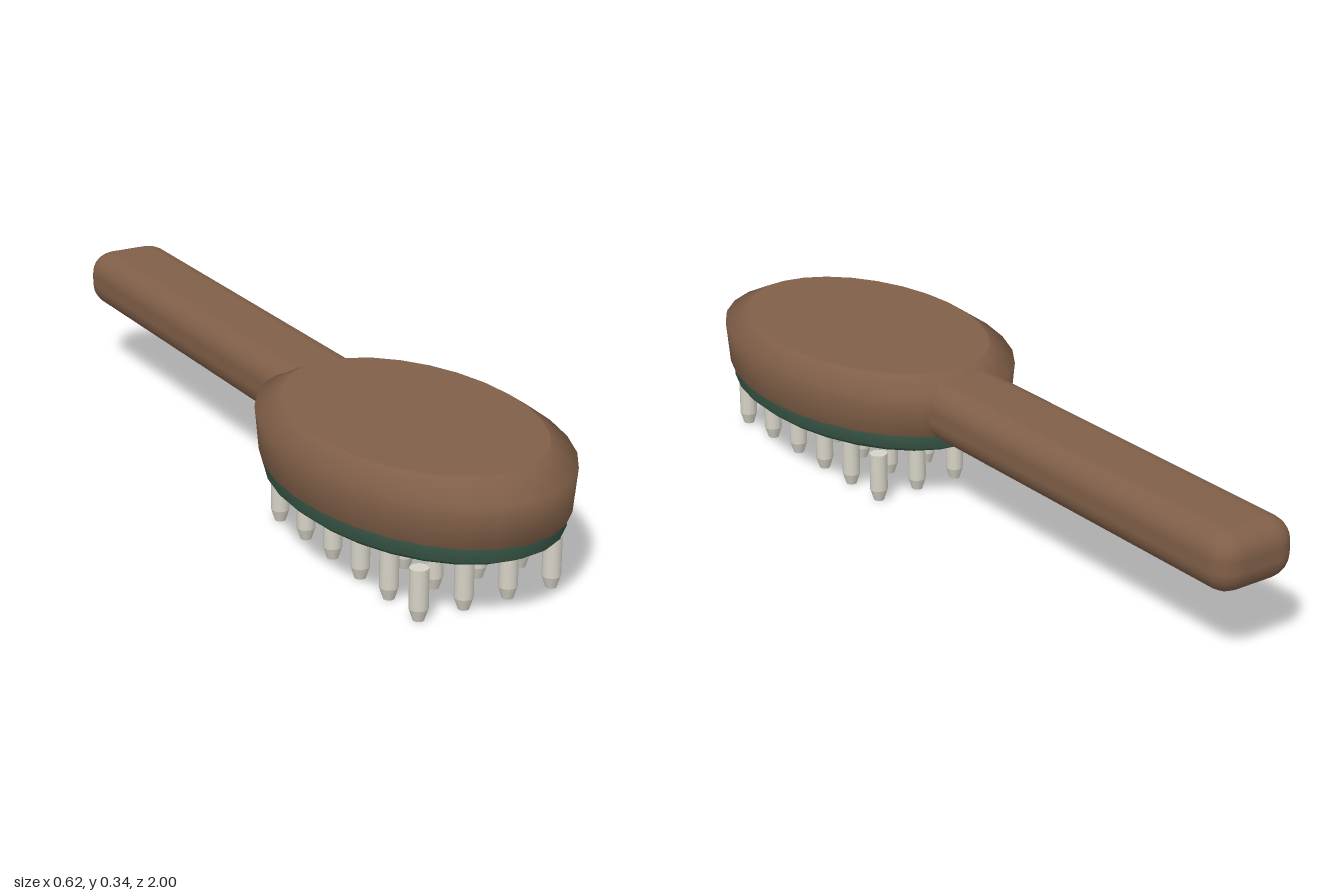
import * as THREE from 'three';
import { RoundedBoxGeometry } from 'three/addons/geometries/RoundedBoxGeometry.js';

const HEAD_Z = 0.515; // centre of the oval head
const STRETCH = 1.55; // oval length over width

function material(name, color) {
  const m = new THREE.MeshStandardMaterial({ color });
  m.name = name;
  return m;
}

// Lathe from [radius, y] pairs; a repeated pair keeps that edge sharp
function lathe(profile, sides) {
  return new THREE.LatheGeometry(profile.map(([r, y]) => new THREE.Vector2(r, y)), sides);
}

export function createModel() {
  const group = new THREE.Group();
  group.name = 'hairbrush';
  const wood = material('brown wood', 0x805f48);
  const rubber = material('dark green rubber', 0x2f4a3c);
  const bone = material('pale bristle', 0xd6d2c6);

  function add(name, geometry, mat, x, y, z) {
    const mesh = new THREE.Mesh(geometry, mat);
    mesh.name = name;
    mesh.position.set(x, y, z);
    group.add(mesh);
    return mesh;
  }

  // Oval wooden head with bevelled rim and flat back
  const head = lathe([
    [0, 0.18], [0.268, 0.18], [0.268, 0.18], [0.302, 0.197],
    [0.31, 0.302], [0.258, 0.338], [0.258, 0.338], [0, 0.338],
  ], 28);
  add('head', head, wood, 0, 0, HEAD_Z).scale.z = STRETCH;

  // Bulging cushion under the head
  const cushion = lathe([
    [0, 0.109], [0.11, 0.113], [0.2, 0.123], [0.27, 0.142],
    [0.293, 0.161], [0.268, 0.183], [0.268, 0.183], [0, 0.183],
  ], 28);
  add('cushion', cushion, rubber, 0, 0, HEAD_Z).scale.z = STRETCH;

  // Long rounded handle running into the head
  add('handle', new RoundedBoxGeometry(0.224, 0.147, 1.2, 3, 0.06), wood, 0, 0.2515, -0.4);

  // Bristles: four columns by six rows, narrowing at the tip
  const bristle = lathe([
    [0, 0], [0.013, 0], [0.013, 0], [0.022, 0.028],
    [0.022, 0.028], [0.022, 0.124], [0.022, 0.124], [0, 0.124],
  ], 12);
  for (let col = 0; col < 4; col++) {
    for (let row = 0; row < 6; row++) {
      add('bristle', bristle, bone, (col - 1.5) * 0.1155, 0, 0.522 + (row - 2.5) * 0.124);
    }
  }
  return group;
}
